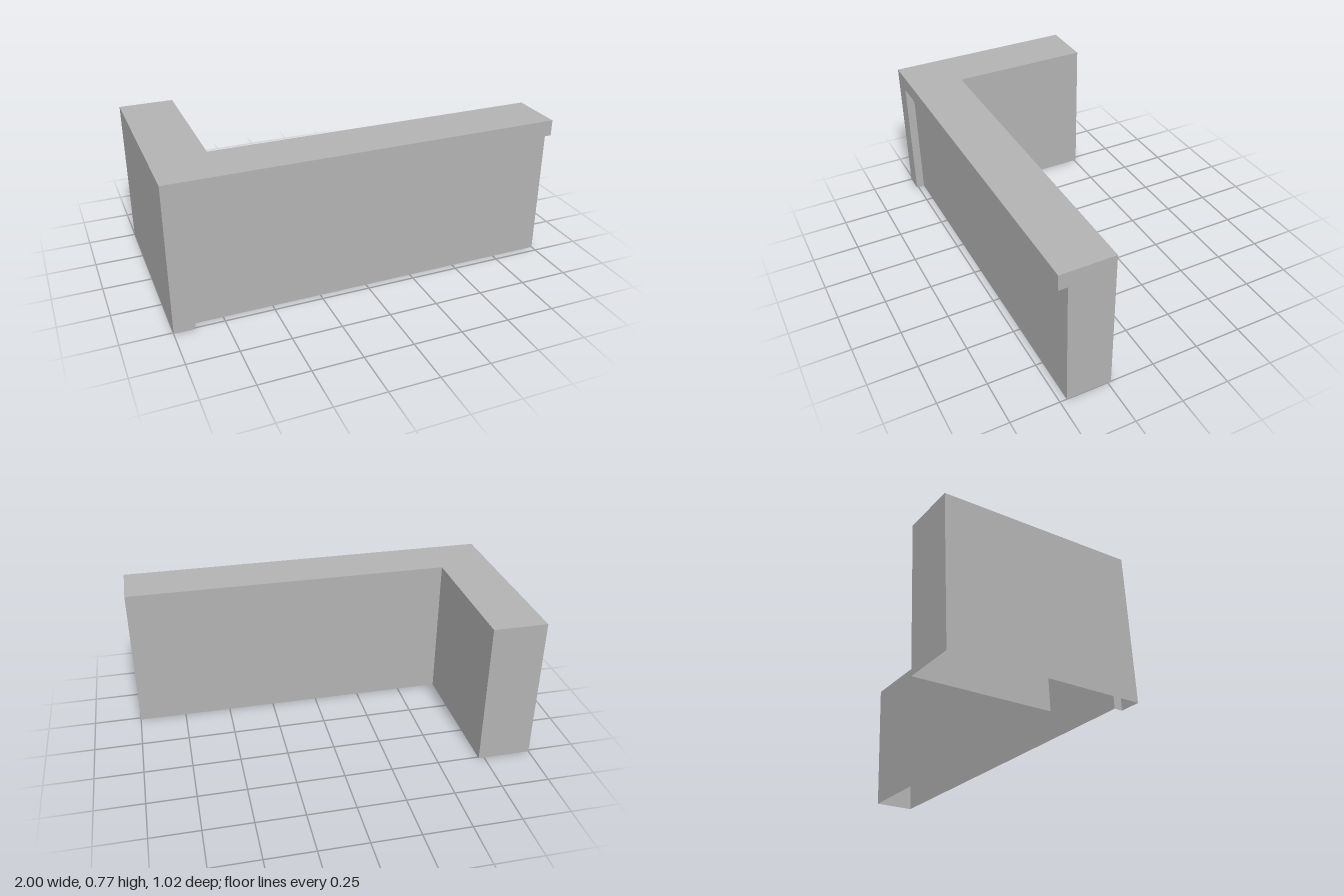
import * as THREE from 'three';

// Key dimensions of the L-shaped wall
const H = 0.766;                  // wall height
const F = 0.51, B = -0.51;        // front and back limits in z
const INNER_Z = 0.232;            // back of the long wall
const INNER_X = -0.72;            // inner side of the short wall
const RX = -0.896, RY = 0.684, RZ = 0.465; // recess side, top and depth

// Flat face from corners in anticlockwise order; fans out from the first corner,
// so an L-shaped face starts at its inner corner
function face(name, corners, material) {
  const index = [];
  for (let i = 1; i < corners.length - 1; i++) index.push(0, i, i + 1);
  const geometry = new THREE.BufferGeometry();
  geometry.setAttribute('position', new THREE.Float32BufferAttribute(corners.flat(), 3));
  geometry.setIndex(index);
  geometry.computeVertexNormals();
  const mesh = new THREE.Mesh(geometry, material);
  mesh.name = name;
  return mesh;
}

// Upright rectangle running from one floor point (x, z) to another
function wall(name, [x0, z0], [x1, z1], height, material) {
  return face(name, [[x0, 0, z0], [x1, 0, z1], [x1, height, z1], [x0, height, z0]], material);
}

export function createModel() {
  const model = new THREE.Group();
  model.name = 'cornerWall';
  const grey = new THREE.MeshStandardMaterial({ color: 0xb2b2b2, side: THREE.DoubleSide });
  grey.name = 'plainGrey';

  // Hollow shell, open underneath
  model.add(
    wall('shortWallOuter', [-1, B], [-1, F], H, grey),
    wall('shortWallEnd', [INNER_X, B], [-1, B], H, grey),
    wall('shortWallInner', [INNER_X, INNER_Z], [INNER_X, B], H, grey),
    wall('longWallBack', [1, INNER_Z], [INNER_X, INNER_Z], H, grey),
    face('longWallEnd', [[1, RY, RZ], [1, 0, RZ], [1, 0, INNER_Z],
      [1, H, INNER_Z], [1, H, F], [1, RY, F]], grey),
    face('wallTop', [[INNER_X, H, INNER_Z], [INNER_X, H, B], [-1, H, B],
      [-1, H, F], [1, H, F], [1, H, INNER_Z]], grey)
  );

  // Front frame and the recessed panel
  model.add(
    face('frontFrame', [[RX, RY, F], [1, RY, F], [1, H, F],
      [-1, H, F], [-1, 0, F], [RX, 0, F]], grey),
    wall('recessedPanel', [RX, RZ], [1, RZ], RY, grey),
    wall('recessSide', [RX, F], [RX, RZ], RY, grey),
    face('ledgeUnderside', [[RX, RY, RZ], [1, RY, RZ], [1, RY, F], [RX, RY, F]], grey)
  );
  return model;
}
